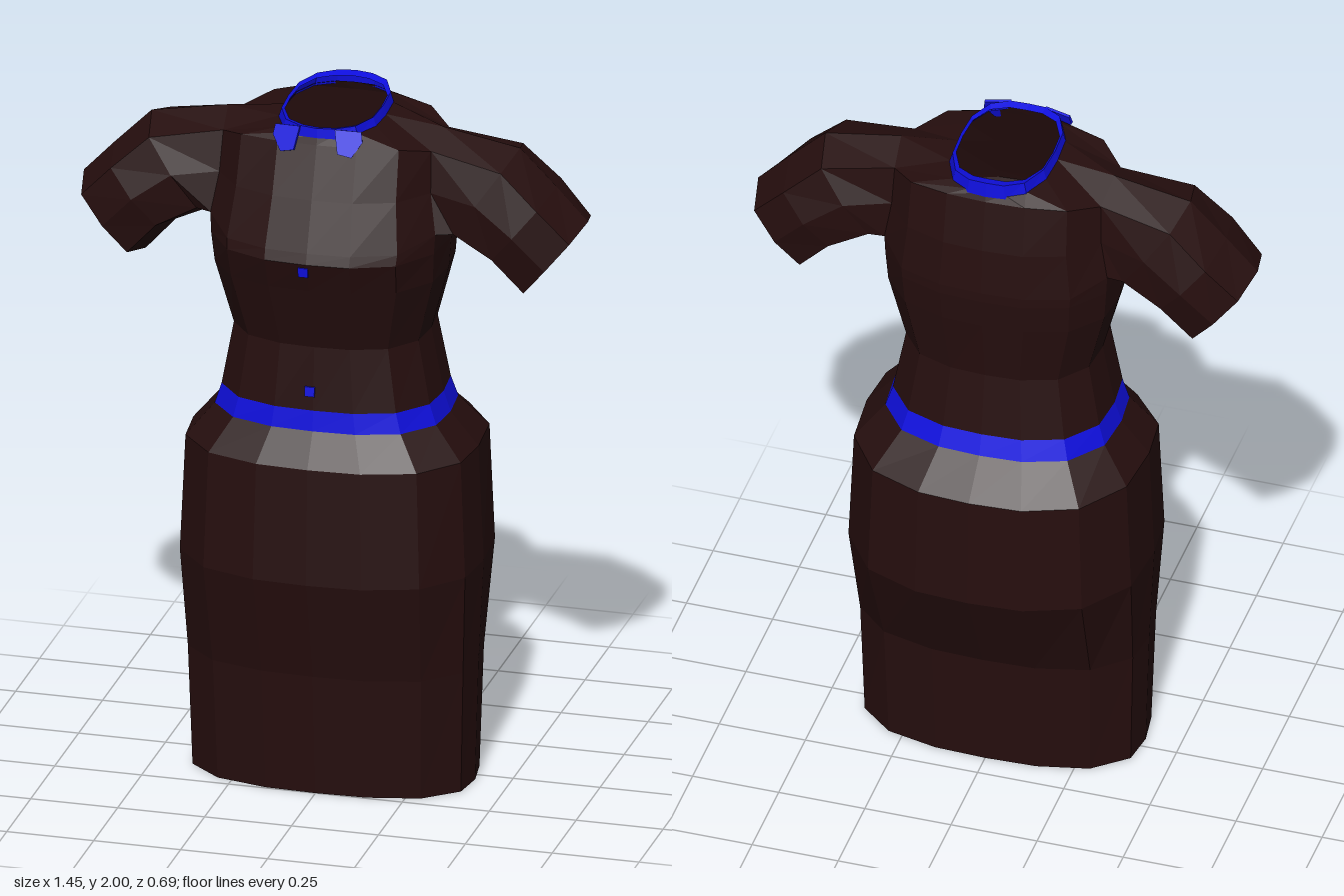
import * as THREE from 'three';

const CZ = 0.035; // depth of the side seams
const X = [0, 0.365, 0.73, 0.965, 1, 0.965, 0.73, 0.365, 0];
const Z = [1, 0.975, 0.82, 0.45, 0, -0.45, -0.82, -0.975, -1];

// One 16-point horizontal ring; y may be a function of the half-ring column.
function ring(y, w, zf, zb) {
  const pts = [];
  for (let i = 0; i < 16; i++) {
    const k = i <= 8 ? i : 16 - i;
    const depth = k <= 4 ? zf - CZ : CZ - zb;
    pts.push([(i <= 8 ? 1 : -1) * w * X[k], typeof y === 'function' ? y(k) : y, CZ + depth * Z[k]]);
  }
  return pts;
}

// Faceted surface through closed rings; skip(row, column) leaves holes.
function loft(rings, skip = () => false) {
  const pos = [];
  for (let r = 0; r < rings.length - 1; r++) {
    const n = rings[r].length;
    for (let i = 0; i < n; i++) {
      if (skip(r, i)) continue;
      const j = (i + 1) % n;
      const a = rings[r][i], b = rings[r][j], c = rings[r + 1][j], d = rings[r + 1][i];
      pos.push(...a, ...b, ...c, ...a, ...c, ...d);
    }
  }
  const g = new THREE.BufferGeometry();
  g.setAttribute('position', new THREE.Float32BufferAttribute(pos, 3));
  g.computeVertexNormals();
  return g;
}

export function createModel() {
  const cloth = new THREE.MeshStandardMaterial({ color: 0x260e0e, side: THREE.DoubleSide });
  cloth.name = 'darkBrownCloth';
  const trim = new THREE.MeshStandardMaterial({ color: 0x0f0fe0, side: THREE.DoubleSide });
  trim.name = 'blueTrim';

  const group = new THREE.Group();
  group.name = 'dress';
  const add = (name, geometry, material) => {
    const m = new THREE.Mesh(geometry, material);
    m.name = name;
    group.add(m);
    return m;
  };

  // Skirt, open at the hem
  add('skirt', loft([
    ring(0, 0.4, 0.25, -0.18),
    ring(0.36, 0.41, 0.28, -0.205),
    ring(0.66, 0.425, 0.35, -0.345),
    ring(1.0, 0.41, 0.335, -0.335),
    ring(1.095, 0.33, 0.28, -0.235),
  ]), cloth);

  // Belt
  const waist = ring(1.155, 0.31, 0.275, -0.215);
  add('belt', loft([ring(1.095, 0.33, 0.28, -0.235), waist]), trim);

  // Bodice with armholes on both sides
  const armpit = ring(k => (k === 4 ? 1.66 : k === 3 || k === 5 ? 1.675 : 1.65), 0.335, 0.34, -0.22);
  const chest = ring(1.79, 0.315, 0.29, -0.208);
  const shoulderY = [1.935, 1.935, 1.93, 1.905, 1.945, 1.905, 1.93, 1.94, 1.94];
  const shoulder = ring(k => shoulderY[k], 0.31, 0.238, -0.18);
  const neck = ring(1.965, 0.142, 0.228, -0.17);
  add('bodice', loft([
    waist,
    ring(1.34, 0.275, 0.262, -0.185),
    ring(1.53, 0.325, 0.32, -0.21),
    ring(1.62, 0.332, 0.35, -0.22),
    armpit, chest, shoulder, neck,
  ], (r, i) => (r === 4 || r === 5) && [3, 4, 11, 12].includes(i)), cloth);

  // Sleeves: from the armhole edge through three tilted sections to an open cuff
  const armhole = [armpit[4], armpit[3], chest[3], shoulder[3], shoulder[4], shoulder[5], chest[5], armpit[5]];
  const along = [1, 0.74, 0, -0.74, -1, -0.74, 0, 0.74];
  const across = [0, 0.84, 1, 0.84, 0, -0.84, -1, -0.84];
  // top x, top y, bottom x, bottom y, half depth
  const sections = [
    [0.53, 1.905, 0.345, 1.64, 0.14],
    [0.635, 1.8, 0.46, 1.587, 0.155],
    [0.725, 1.705, 0.547, 1.49, 0.135],
  ].map(([tx, ty, bx, by, h]) => along.map((c, k) => [
    (tx + bx) / 2 + c * (bx - tx) / 2, (ty + by) / 2 + c * (by - ty) / 2, CZ + h * across[k],
  ]));
  const leftRings = [armhole, ...sections];
  add('leftSleeve', loft(leftRings.map(r => [...r].reverse())), cloth);
  add('rightSleeve', loft(leftRings.map(r => r.map(([x, y, z]) => [-x, y, z]))), cloth);

  // Collar band, slightly higher at the back, folded inward at the top
  const rise = k => 1.983 + 0.017 * k / 8;
  add('collar', loft([
    ring(1.955, 0.148, 0.234, -0.176),
    ring(rise, 0.137, 0.232, -0.172),
    ring(k => rise(k) - 0.006, 0.13, 0.208, -0.143),
  ]), trim);

  // Collar points
  const point = new THREE.Shape([[-0.035, 0], [-0.022, -0.068], [0.018, -0.075], [0.045, -0.03], [0.04, 0]]
    .map(([x, y]) => new THREE.Vector2(x, y)));
  const pointGeo = new THREE.ExtrudeGeometry(point, { depth: 0.008, bevelEnabled: false });
  for (const s of [1, -1]) {
    const g = pointGeo.clone();
    if (s < 0) g.rotateY(Math.PI).translate(0, 0, 0.008);
    const tab = add(s > 0 ? 'leftCollarPoint' : 'rightCollarPoint', g, trim);
    tab.position.set(s * 0.083, 1.98, 0.218);
    tab.rotation.set(-0.35, s * 0.2, 0);
  }

  // Buttons
  [[1.595, 0.343, 0.1], [1.21, 0.272, -0.07]].forEach(([y, z, tilt], i) => {
    const b = add('button' + (i + 1), new THREE.BoxGeometry(0.028, 0.028, 0.009), trim);
    b.position.set(-0.01, y, z);
    b.rotation.x = tilt;
  });

  return group;
}
